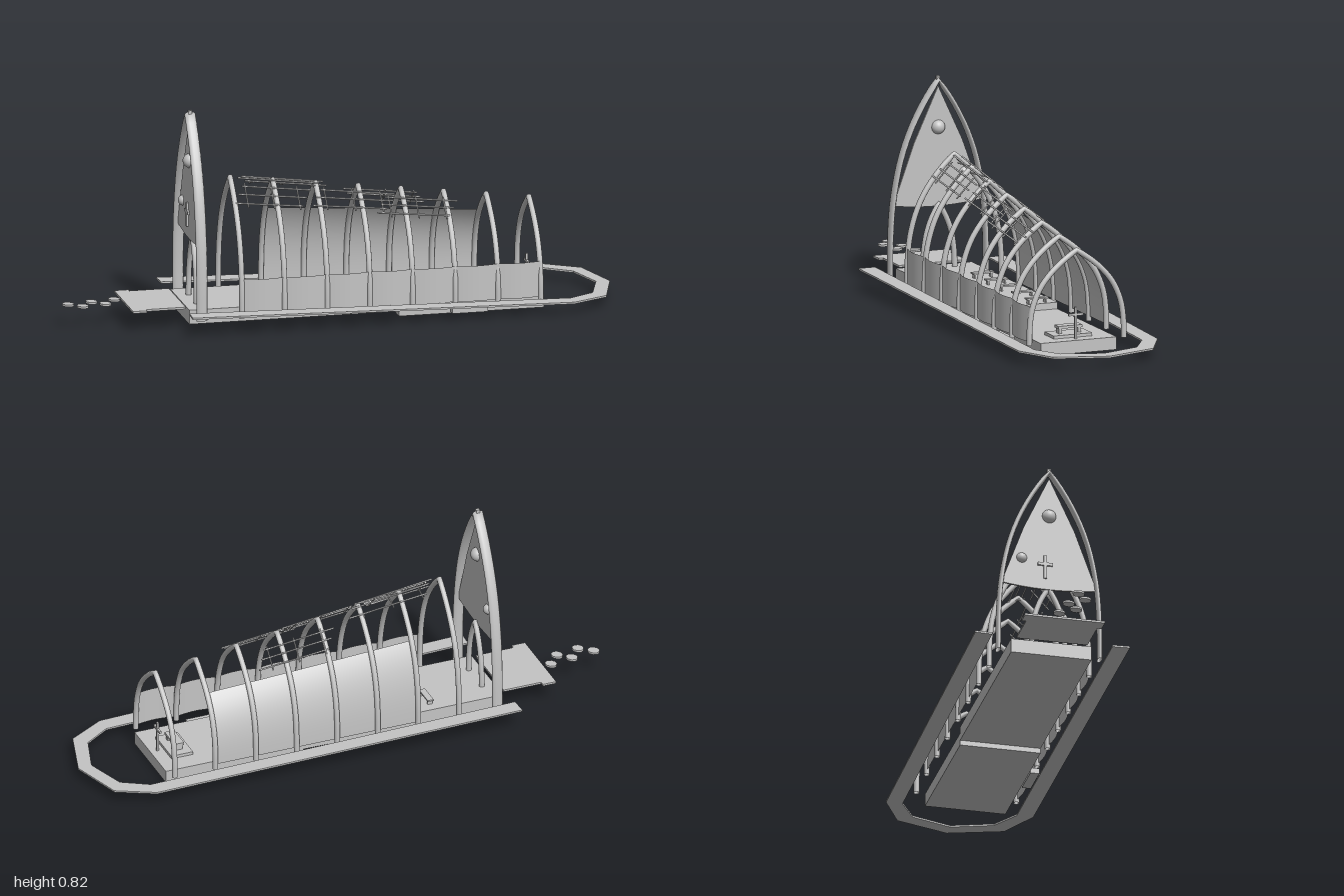
import * as THREE from 'three';
import { ParametricGeometry } from 'three/addons/geometries/ParametricGeometry.js';

const BASE = 0.042;          // foot level of the ribs
const HALF = 0.197;          // half width of the nave
const ribZ = i => 0.447 - 0.168 * i;
const peakAt = z => 0.55 - 0.129 * (0.447 - z);
// half width of a pointed arch at a height
const archHalf = (y, peak, half = HALF) => half * (1 - Math.pow((y - BASE) / (peak - BASE), 3));

export function createModel() {
  const stone = new THREE.MeshStandardMaterial({ color: 0xc4c4c4, side: THREE.DoubleSide });
  stone.name = 'pale grey';
  const model = new THREE.Group();
  const chapel = new THREE.Group();
  chapel.name = 'chapel';
  const angle = THREE.MathUtils.degToRad(-24.3);
  chapel.rotation.y = angle;
  chapel.position.set(-0.034, 0, -0.015);
  model.add(chapel);

  const add = (name, geo, x = 0, y = 0, z = 0, parent = chapel) => {
    const m = new THREE.Mesh(geo, stone);
    m.name = name;
    m.position.set(x, y, z);
    parent.add(m);
    return m;
  };
  const box = (name, w, h, d, x, y, z) => add(name, new THREE.BoxGeometry(w, h, d), x, y, z);

  // Pointed arch swept along both sides
  const arch = (name, half, peak, z, r, stretch = 1) => {
    const left = [0, 0.2, 0.4, 0.6, 0.75, 0.88, 0.96, 1].map(t =>
      new THREE.Vector3(-half * (1 - t ** 3), BASE + t * (peak - BASE), 0));
    const right = left.slice(0, -1).reverse().map(p => new THREE.Vector3(-p.x, p.y, 0));
    const geo = new THREE.TubeGeometry(new THREE.CatmullRomCurve3([...left, ...right]), 40, r, 10);
    geo.scale(1, 1, stretch);
    add(name, geo, 0, 0, z);
  };

  // Bar between two points
  const bar = (name, a, b, r) => {
    const dir = b.clone().sub(a);
    const m = add(name, new THREE.CylinderGeometry(r, r, dir.length(), 6));
    m.position.copy(a).add(b).multiplyScalar(0.5);
    m.quaternion.setFromUnitVectors(new THREE.Vector3(0, 1, 0), dir.normalize());
  };

  // Floor slabs
  box('frontSlab', 0.317, 0.056, 0.825, 0, 0.048, 0.2325);
  box('backSlab', 0.317, 0.05, 0.57, 0, 0.025, -0.465);
  box('sideStep', 0.035, 0.022, 0.14, 0.185, 0.02, -0.45);

  // Porch with wider front lip
  box('porch', 0.28, 0.008, 0.16, 0, 0.08, 0.735);
  box('porchLip', 0.315, 0.008, 0.055, 0, 0.08, 0.838);

  // Path running around the building, falling gently to the back
  const outer = [[0.305, 0.666], [0.29, -0.84], [0.21, -0.985], [0, -1.048]];
  const inner = [[0.237, 0.663], [0.225, -0.84], [0.16, -0.942], [0, -0.993]];
  const both = side => [...side, ...side.slice(0, -1).reverse().map(([x, z]) => [-x, z])];
  const outline = [...both(outer), ...both(inner).reverse()];
  const pathGeo = new THREE.ExtrudeGeometry(
    new THREE.Shape(outline.map(([x, z]) => new THREE.Vector2(x, -z))), { depth: 0.007, bevelEnabled: false });
  pathGeo.rotateX(-Math.PI / 2);
  const path = add('path', pathGeo, 0, 0.062, 0);
  path.rotation.x = -0.0235;

  // Ribs of the nave
  for (let i = 0; i < 8; i++) arch('rib', HALF, peakAt(ribZ(i)), ribZ(i), 0.011);

  // Entrance gable and doorway
  const gableZ = 0.605;
  arch('gableArch', 0.2, 0.81, gableZ, 0.0095, 2.3);
  arch('doorArch', 0.066, 0.325, gableZ - 0.01, 0.011);
  box('finial', 0.014, 0.03, 0.014, 0, 0.81, gableZ);
  const panel = new THREE.Shape();
  panel.moveTo(0, 0.785);
  panel.lineTo(-0.1, 0.57);
  panel.lineTo(-0.188, 0.33);
  panel.quadraticCurveTo(0, 0.302, 0.188, 0.33);
  panel.lineTo(0.1, 0.57);
  add('gablePanel', new THREE.ExtrudeGeometry(panel, { depth: 0.008, bevelEnabled: false }), 0, 0, gableZ - 0.004);
  add('upperBell', new THREE.SphereGeometry(0.028, 24, 16), 0, 0.625, gableZ);
  add('lowerBell', new THREE.SphereGeometry(0.021, 24, 16), -0.108, 0.44, gableZ);
  box('gableCrossPost', 0.012, 0.095, 0.012, -0.016, 0.408, gableZ + 0.006);
  box('gableCrossArm', 0.058, 0.012, 0.012, -0.016, 0.42, gableZ + 0.006);

  // Tall wall curving with the ribs on one side
  const z0 = ribZ(1), z1 = ribZ(6);
  add('tallWall', new ParametricGeometry((u, v, p) => {
    const z = z0 + (z1 - z0) * u;
    const y = 0.06 + v * (0.325 - 0.055 * u);
    p.set(-archHalf(y, peakAt(z)), y, z);
  }, 15, 10));

  // Low wall of bowed panels on the other side
  for (let i = 0; i < 7; i++) {
    add('lowWallPanel', new ParametricGeometry((u, v, p) => {
      p.set(HALF + 0.012 * Math.sin(Math.PI * u), 0.055 + 0.14 * v, ribZ(i) - 0.168 * u);
    }, 10, 1));
  }

  // Roof lattices: [centre x, front z, back z]
  const lattices = [[-0.012, 0.40, 0.08], [0.065, 0.43, 0.16], [-0.075, -0.03, -0.32],
    [0.062, 0.12, -0.17], [0.075, -0.13, -0.415]];
  const onRoof = (x, z) => {
    const t = Math.cbrt(1 - Math.abs(x) / HALF);
    return new THREE.Vector3(x, BASE + t * (peakAt(z) - BASE) + 0.013, z);
  };
  for (const [x, front, back] of lattices) {
    [-0.025, 0, 0.025].forEach((dx, k) => {
      const shift = 0.02 * (k - 1);
      bar('roofBatten', onRoof(x + dx, front + shift), onRoof(x + dx, back + shift), 0.0035);
    });
    for (const f of [0.12, 0.5, 0.88]) {
      const z = front + (back - front) * f;
      bar('roofCrossBatten', onRoof(x - 0.035, z), onRoof(x + 0.035, z), 0.003);
    }
  }

  // Low benches in two rows
  for (let i = 0; i < 5; i++) {
    for (const s of [-1, 1]) {
      const z = 0.36 - i * 0.13;
      const top = z > -0.18 ? 0.095 : 0.07;
      box('benchSeat', 0.09, 0.006, 0.025, s * 0.08, top, z);
      for (const e of [-1, 1]) box('benchLeg', 0.006, 0.02, 0.02, s * 0.08 + e * 0.035, top - 0.012, z);
    }
  }

  // Altar and standing cross at the back
  box('altarStep', 0.16, 0.012, 0.09, 0, 0.056, -0.65);
  box('altarTable', 0.1, 0.01, 0.04, 0, 0.087, -0.65);
  for (const s of [-1, 1]) box('altarLeg', 0.012, 0.025, 0.03, s * 0.04, 0.072, -0.65);
  box('backCrossPost', 0.009, 0.125, 0.009, 0, 0.112, -0.72);
  box('backCrossArm', 0.06, 0.009, 0.009, 0, 0.145, -0.72);

  // Stepping stones before the porch
  const stones = [[-0.43, 0.79], [-0.4, 0.855], [-0.455, 0.88], [-0.425, 0.945], [-0.48, 0.974]];
  for (const [x, z] of stones) {
    const s = add('steppingStone', new THREE.CylinderGeometry(0.025, 0.025, 0.008, 10), x, 0.084, z, model);
    s.scale.z = 0.85;
  }
  return model;
}
